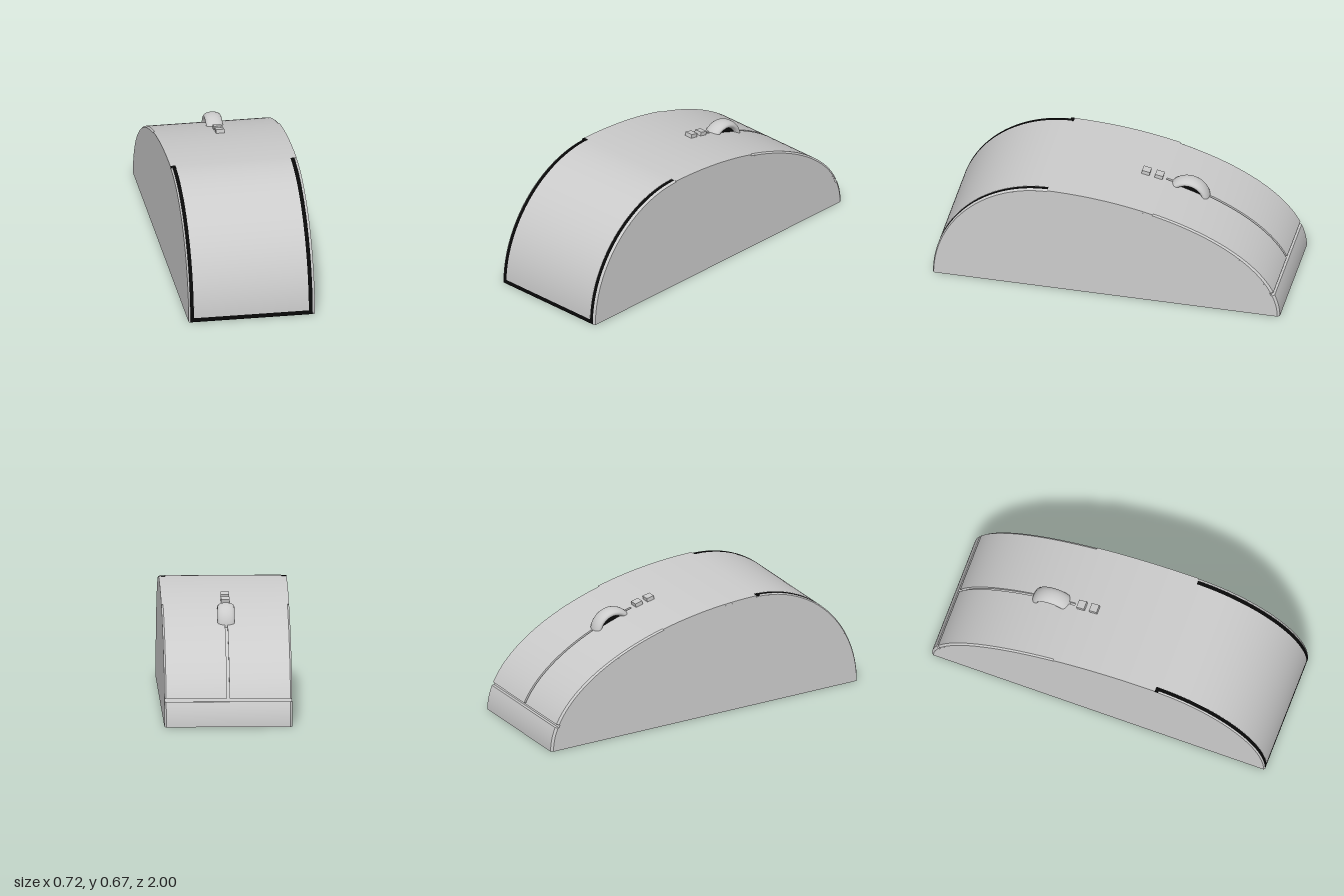
import * as THREE from 'three';
import { toCreasedNormals } from 'three/addons/utils/BufferGeometryUtils.js';

const PEAK_Z = 0.34, HEIGHT = 0.665, FRONT = 0.66, BACK = 1.34, HALF = 0.36;
const CORE = 0.985; // scale of the core under the outer panels

const grey = new THREE.MeshStandardMaterial({ color: 0xcccccc });
const black = new THREE.MeshStandardMaterial({ color: 0x080808 });

// Side profile: two quarter ellipses meeting at the peak. t = 0 front, PI back.
function profile(t, s = 1) {
  const c = Math.cos(t);
  return new THREE.Vector2(PEAK_Z + s * c * (c > 0 ? FRONT : BACK), s * HEIGHT * Math.sin(t));
}
const backAngle = (z) => Math.acos((z - PEAK_Z) / BACK);

function arc(t0, t1, s) {
  const n = Math.max(2, Math.ceil((t1 - t0) * 32));
  return Array.from({ length: n + 1 }, (_, i) => profile(t0 + (t1 - t0) * i / n, s));
}

// Extrude a (z, y) outline from x0 to x1
function extrudeX(points, x0, x1) {
  const g = new THREE.ExtrudeGeometry(new THREE.Shape(points), { depth: x1 - x0, bevelEnabled: false });
  g.rotateY(-Math.PI / 2);
  return g.translate(x1, 0, 0);
}

export function createModel() {
  const model = new THREE.Group();
  model.name = 'computerMouse';

  function add(name, geometry, material = grey) {
    const mesh = new THREE.Mesh(geometry, material);
    mesh.name = name;
    model.add(mesh);
    return mesh;
  }

  // Curved panel lying on the core; chamfered panels slope down at the outer side
  function panel(name, t0, t1, x0, x1, { s = 1, material = grey, chamfer = false } = {}) {
    const g = extrudeX([...arc(t0, t1, s), ...arc(t0, t1, CORE).reverse()], x0, x1);
    if (chamfer) {
      const p = g.attributes.position;
      for (let i = 0; i < p.count; i++) {
        const y = p.getY(i), z = p.getZ(i) - PEAK_Z;
        const level = Math.hypot(y / HEIGHT, z / (z > 0 ? FRONT : BACK));
        if (Math.abs(p.getX(i)) > HALF - 0.001 && level > 0.993) {
          p.setY(i, y * 0.99);
          p.setZ(i, PEAK_Z + z * 0.99);
        }
      }
    }
    return add(name, toCreasedNormals(g, 0.4), material);
  }

  const peak = Math.PI / 2, split = backAngle(-0.27);
  const seam0 = backAngle(-0.962), seam1 = backAngle(-0.97);

  // Solid core
  add('core', toCreasedNormals(extrudeX(arc(0, Math.PI, CORE), -HALF, HALF), 0.4));

  // Front palm rest inside its black U-shaped trim
  panel('palmRest', 0.0376, peak, -0.331, 0.324);
  panel('trimLeft', 0, peak, 0.324, 0.346, { s: 0.998, material: black });
  panel('trimRight', 0, peak, -0.351, -0.331, { s: 0.998, material: black });
  panel('trimBottom', 0, 0.0376, -0.331, 0.324, { s: 0.998, material: black });
  panel('trimTab', peak - 0.03, peak, -HALF, -0.331, { s: 1.002, material: black });
  panel('rimLeft', 0, peak, 0.346, HALF, { chamfer: true });
  panel('rimRight', 0, peak, -HALF, -0.351, { chamfer: true });

  // Top shell, click buttons split by a groove, and tail plate
  panel('topShell', peak, split, -HALF, HALF);
  const edge = HALF - 0.01;
  panel('clickButtonLeft', split, seam0, 0.007, edge);
  panel('clickButtonRight', split, seam0, -edge, -0.007);
  panel('tailPlate', seam1, Math.PI, -edge, edge);
  for (const [t0, t1, part] of [[split, seam0, 'buttonEdge'], [seam1, Math.PI, 'tailEdge']]) {
    panel(part + 'Left', t0, t1, edge, HALF, { chamfer: true });
    panel(part + 'Right', t0, t1, -HALF, -edge, { chamfer: true });
  }

  // Scroll wheel: wide rounded tyre around a black hub
  const tyre = new THREE.TorusGeometry(0.1025, 0.0225, 16, 48);
  tyre.scale(1, 1, 2.13).rotateY(Math.PI / 2);
  add('scrollWheel', tyre).position.set(0, 0.495, -0.395);
  const hub = new THREE.CylinderGeometry(0.085, 0.085, 0.05, 32).rotateZ(Math.PI / 2);
  add('wheelHub', hub, black).position.set(0, 0.495, -0.395);

  // Two small keys following the slope of the shell
  for (const z of [-0.152, -0.227]) {
    const t = backAngle(z), p = profile(t);
    const key = add('smallKey', new THREE.BoxGeometry(0.048, 0.04, 0.046));
    key.position.set(0, p.y + 0.002, z);
    key.rotation.x = -Math.atan2(HEIGHT * -Math.cos(t), BACK * Math.sin(t));
  }
  return model;
}
